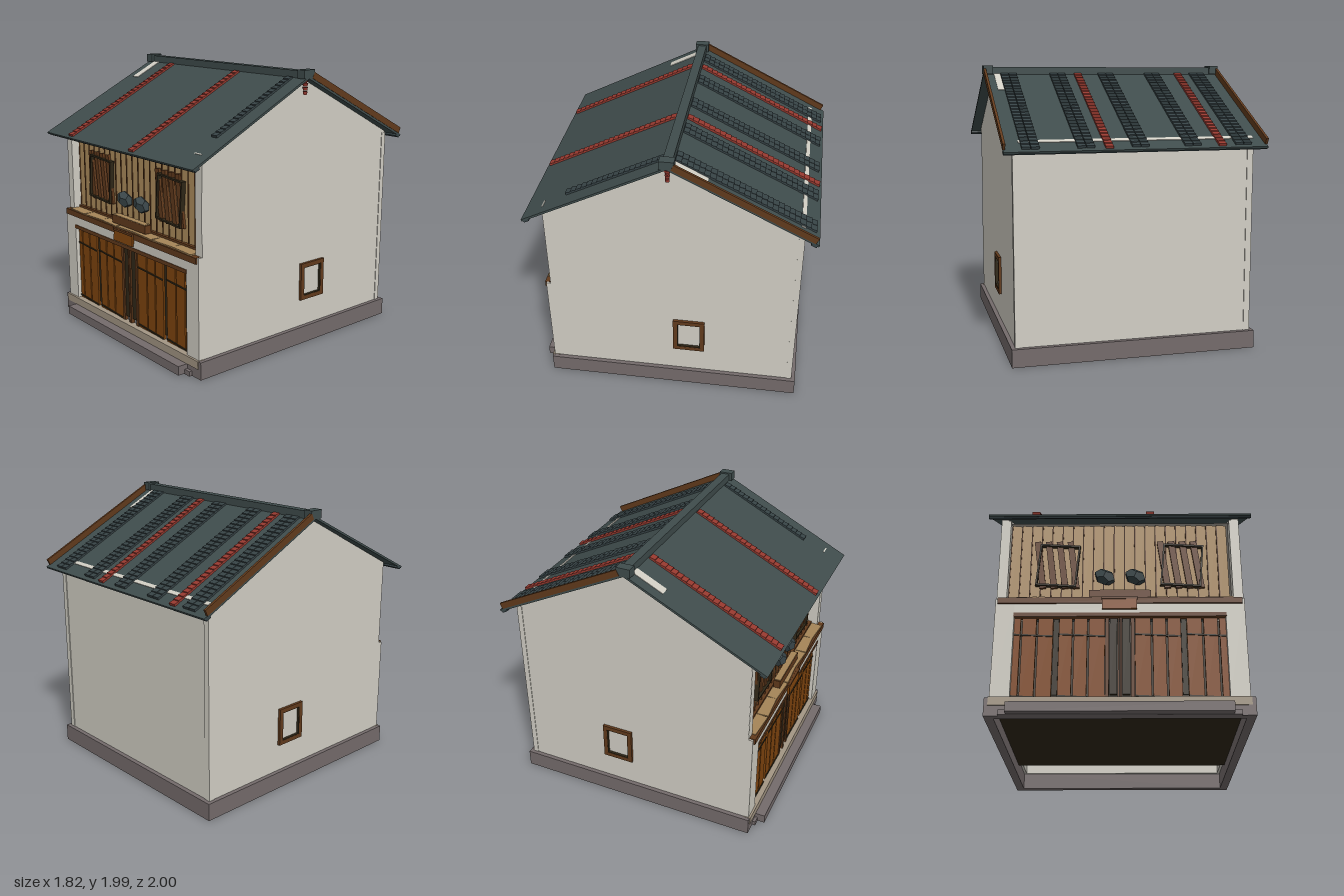
import * as THREE from 'three';

const mat = (name, color) => {
  const m = new THREE.MeshStandardMaterial({ color });
  m.name = name;
  return m;
};

export function createModel() {
  const M = {
    plaster: mat('plaster', 0xd1cec4),
    roof: mat('roof slate', 0x3f4c4c),
    tile: mat('dark tile', 0x374346),
    red: mat('red tile', 0x96392f),
    orange: mat('door wood', 0x80450e),
    brown: mat('brown wood', 0x613a1c),
    dark: mat('dark wood', 0x302818),
    tan: mat('tan planks', 0xa58558),
    stone: mat('stone', 0x746b6b),
    sill: mat('threshold', 0xa39684),
  };
  const root = new THREE.Group();
  root.name = 'house';

  const add = (parent, name, geo, material) => {
    const mesh = new THREE.Mesh(geo, material);
    mesh.name = name;
    parent.add(mesh);
    return mesh;
  };
  // box given by its extents on each axis
  const box = (parent, name, m, x0, x1, y0, y1, z0, z1) => {
    const mesh = add(parent, name, new THREE.BoxGeometry(x1 - x0, y1 - y0, z1 - z0), m);
    mesh.position.set((x0 + x1) / 2, (y0 + y1) / 2, (z0 + z1) / 2);
    return mesh;
  };
  const rectShape = (w, h, border) => {
    const rect = (a, b) => [[-a, -b], [a, -b], [a, b], [-a, b]].map(p => new THREE.Vector2(...p));
    const s = new THREE.Shape(rect(w / 2, h / 2));
    s.holes.push(new THREE.Path(rect(w / 2 - border, h / 2 - border).reverse()));
    return s;
  };
  const extrude = (shape, depth) => new THREE.ExtrudeGeometry(shape, { depth, bevelEnabled: false });

  // ---- base: hollow stone ring, floor with dark inner screen, threshold and step
  const ring = add(root, 'foundation', extrude(rectShape(1.73, 1.845, 0.06), 0.125).rotateX(-Math.PI / 2), M.stone);
  ring.position.z = -0.01;
  box(root, 'floor', M.dark, -0.81, 0.81, 0.085, 0.095, -0.5, 0.62);
  box(root, 'innerScreen', M.dark, -0.78, 0.78, 0.095, 0.8, 0.61, 0.62);
  box(root, 'threshold', M.sill, -0.84, 0.84, 0.07, 0.127, 0.862, 0.918);
  box(root, 'upperStep', M.stone, -0.77, 0.77, 0, 0.035, 0.9, 0.935);
  box(root, 'frontStep', M.stone, -0.72, 0.72, 0.005, 0.07, 0.9, 0.988);

  // ---- gable walls and back wall
  const gable = new THREE.Shape([[-0.9, 0.12], [0.87, 0.12], [0.87, 1.48], [0, 1.93], [-0.9, 1.47]]
    .map(p => new THREE.Vector2(...p)));
  for (const side of [-1, 1]) {
    const g = extrude(gable, 0.05).rotateY(-Math.PI / 2);
    add(root, 'gableWall', g, M.plaster).position.x = side > 0 ? 0.835 : -0.785;
    box(root, 'cornerPost', M.plaster, side * 0.817 - 0.022, side * 0.817 + 0.022, 0.12, 1.46, -0.905, -0.865);
    // side window frame
    const frame = new THREE.Group();
    frame.name = 'sideWindow';
    frame.position.set(side * 0.835, 0.465, -0.135);
    frame.rotation.y = side * Math.PI / 2;
    add(frame, 'windowFrame', extrude(rectShape(0.23, 0.275, 0.03), 0.02), M.brown);
    add(frame, 'innerFrame', extrude(rectShape(0.176, 0.221, 0.008), 0.018), M.dark);
    root.add(frame);
  }
  box(root, 'backWall', M.plaster, -0.8, 0.8, 0.12, 1.465, -0.9, -0.85);

  // ---- lower front wall
  for (const s of [-1, 1]) {
    box(root, 'frontPillar', M.plaster, s * 0.77 - 0.065, s * 0.77 + 0.065, 0.12, 0.835, 0.85, 0.903);
    box(root, 'upperPillar', M.plaster, s * 0.8 - 0.033, s * 0.8 + 0.033, 0.8, 1.47, 0.78, 0.872);
  }
  box(root, 'lintel', M.plaster, -0.72, 0.72, 0.725, 0.83, 0.85, 0.903);

  // ---- doors: four planked leaves with open gaps
  const doors = new THREE.Group();
  doors.name = 'doors';
  doors.position.z = 0.012;
  root.add(doors);
  const planks = [[0.1, 0.205], [0.217, 0.305], [0.317, 0.405], [0.445, 0.545], [0.557, 0.65], [0.662, 0.705]];
  for (const s of [-1, 1]) {
    const part = (name, m, a, b, y0, y1, z0, z1) =>
      box(doors, name, m, Math.min(s * a, s * b), Math.max(s * a, s * b), y0, y1, z0, z1);
    for (const [a, b] of planks) part('doorPlank', M.orange, a, b, 0.127, 0.705, 0.84, 0.862);
    for (const [a, b] of [[0.1, 0.405], [0.445, 0.705]]) {
      for (const y of [0.14, 0.575]) {
        part('doorRail', M.dark, a, b, y - 0.005, y + 0.005, 0.85, 0.868).rotation.z = -0.05;
      }
    }
    part('leafGap', M.dark, 0.407, 0.443, 0.16, 0.705, 0.838, 0.85);
    part('centrePost', M.dark, 0.018, 0.068, 0.16, 0.72, 0.838, 0.86);
    part('centreStile', M.brown, 0.002, 0.014, 0.125, 0.725, 0.84, 0.87);
    part('doorStile', M.brown, 0.072, 0.097, 0.125, 0.725, 0.84, 0.868);
  }
  box(doors, 'doorHead', M.brown, -0.71, 0.71, 0.7, 0.728, 0.84, 0.895);

  // ---- beam, ledge and blank board over the doors
  box(root, 'mainBeam', M.brown, -0.82, 0.82, 0.795, 0.838, 0.86, 0.915).rotation.z = -0.002;
  // uneven ledge boards
  for (let i = 0; i < 7; i++) {
    const x = -0.77 + i * 0.22;
    box(root, 'ledgeBoard', M.tan, x, x + 0.215, 0.832, 0.846, 0.79, 0.905).rotation.y = i % 2 ? 0.06 : -0.06;
  }
  box(root, 'centreShelf', M.brown, -0.21, 0.21, 0.85, 0.91, 0.83, 0.88);
  box(root, 'shelfTop', M.tan, -0.2, 0.2, 0.906, 0.914, 0.83, 0.878);
  box(root, 'hangingBoard', M.orange, -0.12, 0.115, 0.745, 0.83, 0.912, 0.928).rotation.x = -0.08;
  box(root, 'boardRail', M.brown, -0.123, 0.118, 0.82, 0.836, 0.9, 0.932);

  // ---- upper front: slightly turned tan planks over a dark backing
  box(root, 'plankBack', M.dark, -0.785, 0.785, 0.8, 1.5, 0.775, 0.784);
  box(root, 'plankFoot', M.brown, -0.77, 0.765, 0.845, 0.862, 0.795, 0.825);
  for (let i = 0; i < 21; i++) {
    const x = -0.765 + i * 0.0725;
    box(root, 'upperPlank', M.tan, x, x + 0.068, 0.84, 1.47, 0.785, 0.8).rotation.y = 0.16;
    box(root, 'plankJoint', M.brown, x - 0.005, x + 0.003, 0.85, 1.46, 0.79, 0.81);
  }

  // ---- skewed upper windows with leaning slats
  const skew = new THREE.Matrix4().set(1, 0.085, 0, 0, -0.06, 1, 0, 0, 0, 0, 1, 0, 0, 0, 0, 1);
  for (const x of [-0.43, 0.43]) {
    const win = new THREE.Group();
    win.name = 'upperWindow';
    win.position.set(x, 1.13, 0.805);
    root.add(win);
    add(win, 'windowFrame', extrude(rectShape(0.28, 0.325, 0.012), 0.035).applyMatrix4(skew), M.dark);
    for (let i = 0; i < 4; i++) {
      const slat = box(win, 'slat', M.brown, -0.022, 0.022, -0.185, 0.185, 0, 0.02);
      slat.position.x = -0.125 + i * 0.077;
      slat.position.y = 0.012;
      slat.rotation.z = 0.13;
    }
  }

  // ---- faceted lanterns
  for (const x of [-0.105, 0.105]) {
    const lamp = add(root, 'lantern', new THREE.DodecahedronGeometry(0.075, 0), M.tile);
    lamp.geometry.scale(1.05, 0.78, 0.65);
    lamp.geometry.computeVertexNormals();
    lamp.position.set(x, 1.035, 0.835);
    lamp.rotation.z = -0.4;
  }

  // ---- roof: each slope runs along its local +z from the ridge to the eave
  const L = 1.12, pitch = 0.467;
  const slope = (name, back) => {
    const turn = new THREE.Group();
    turn.name = name;
    turn.position.y = 1.945;
    turn.rotation.y = back ? Math.PI : 0;
    const g = new THREE.Group();
    g.rotation.x = pitch;
    turn.add(g);
    root.add(turn);
    box(g, 'roofSlab', M.roof, -0.908, 0.908, -0.015, 0, 0, L);
    box(g, 'eaveEdge', M.tile, -0.908, 0.908, -0.028, -0.006, L - 0.05, L - 0.01);
    return g;
  };
  // sawtooth row of overlapping tiles
  const tileRow = (g, m, x, w, s0, s1) => {
    const n = Math.round((s1 - s0) / 0.042), d = (s1 - s0) / n;
    const shape = new THREE.Shape();
    shape.moveTo(s0, -0.002);
    for (let i = 0; i < n; i++) {
      shape.lineTo(s0 + i * d, 0.011);
      shape.lineTo(s0 + (i + 0.95) * d, 0.018);
    }
    shape.lineTo(s1, -0.002);
    add(g, 'tileRow', extrude(shape, w).rotateY(-Math.PI / 2), m).position.x = x + w / 2;
  };
  const front = slope('frontRoof', false), back = slope('backRoof', true);
  for (const x of [-0.58, 0.21]) {
    tileRow(front, M.red, x, 0.054, 0.04, L - 0.02);
    tileRow(back, M.red, -x, 0.054, 0.04, L - 0.02);
  }
  tileRow(front, M.tile, 0.76, 0.054, 0.04, 0.79);
  for (const x of [-0.735, -0.37, -0.005, 0.365, 0.73]) {
    for (const o of [-0.03, 0.03]) tileRow(back, M.tile, -x + o, 0.056, 0.04, L - 0.03);
  }
  // wall heads showing through the slates
  box(front, 'wallHead', M.plaster, -0.835, -0.77, 0, 0.004, 0.03, 0.272);
  box(front, 'wallChip', M.plaster, 0.76, 0.83, 0, 0.003, 0.965, 0.975);
  box(back, 'wallHead', M.plaster, -0.835, -0.79, 0, 0.004, 0.03, 0.285);
  box(back, 'backWallHead', M.plaster, -0.8, 0.835, 0, 0.004, 0.98, 1.01);
  // barge boards on the back slope
  for (const s of [-1, 1]) {
    box(back, 'bargeBoard', M.brown, s * 0.903 - 0.009, s * 0.903 + 0.009, 0, 0.045, 0.03, L - 0.03);
  }

  // ---- ridge, end caps and red hanging ornament
  box(root, 'ridge', M.roof, -0.9, 0.9, 1.925, 1.98, -0.035, 0.03);
  for (const s of [-1, 1]) {
    box(root, 'ridgeCap', M.roof, s * 0.877 - 0.034, s * 0.877 + 0.034, 1.93, 1.99, -0.05, 0.05);
  }
  for (let i = 0; i < 4; i++) {
    const bead = add(root, 'ornamentBead', new THREE.CylinderGeometry(0.024 - i * 0.003, 0.014, 0.022, 8), M.red);
    bead.position.set(0.87, 1.915 - i * 0.028, 0);
  }
  return root;
}
